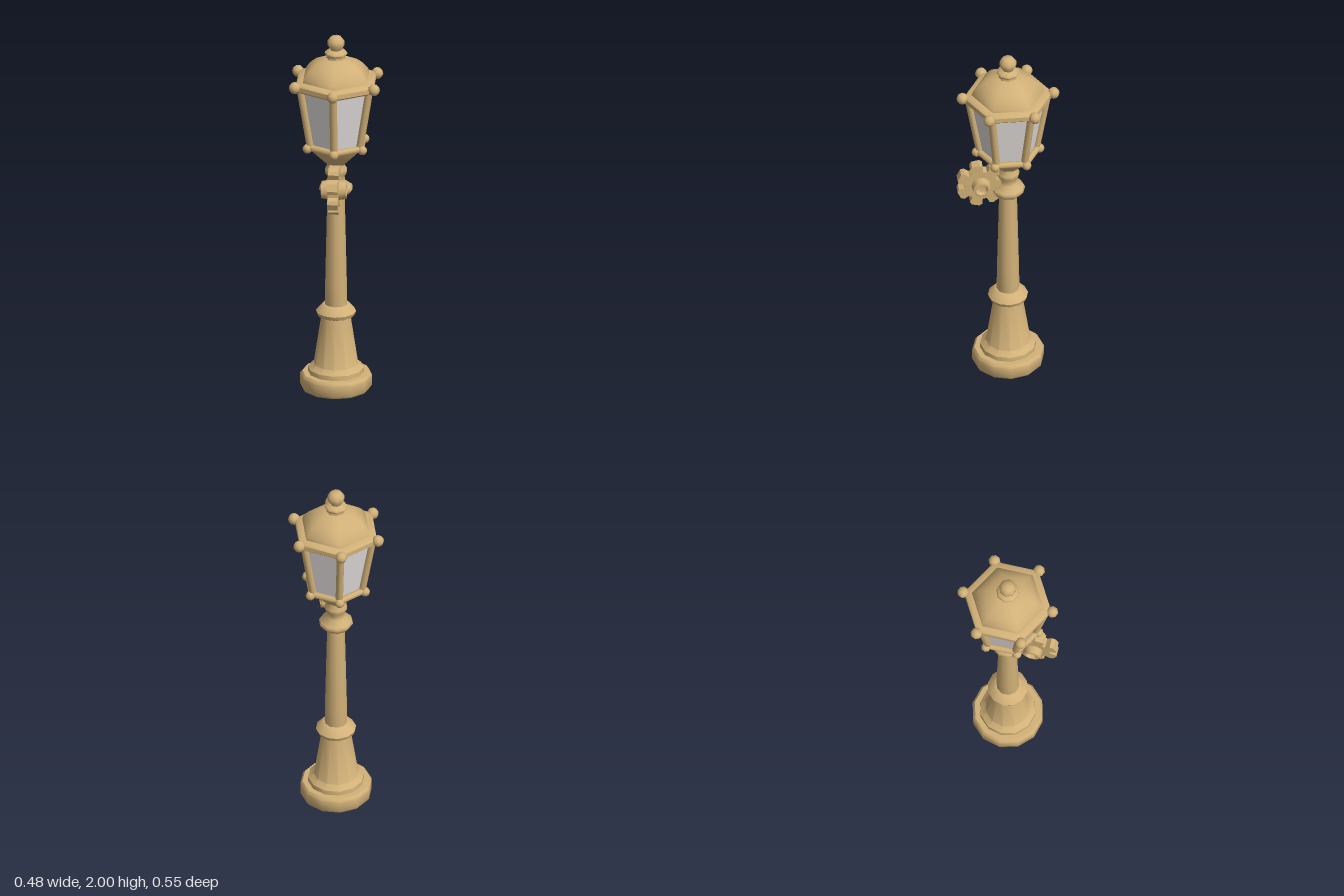
import * as THREE from 'three';
import { toCreasedNormals } from 'three/addons/utils/BufferGeometryUtils.js';

const paint = new THREE.MeshStandardMaterial({ color: 0xd2b178 });
paint.name = 'sandPaint';
const glass = new THREE.MeshStandardMaterial({ color: 0xe2dedc, side: THREE.DoubleSide });
glass.name = 'frostedGlass';

const lathe = (profile, sides, crease = 0.8) => toCreasedNormals(
  new THREE.LatheGeometry(profile.map(([r, y]) => new THREE.Vector2(r, y)), sides), crease);

// Corner of a hexagon with one corner pointing to the front
const corner = (i, r, y) => new THREE.Vector3(
  Math.sin(i * Math.PI / 3) * r, y, Math.cos(i * Math.PI / 3) * r);

export function createModel() {
  const lamp = new THREE.Group();
  lamp.name = 'streetLamp';

  const add = (name, geometry, material = paint, parent = lamp) => {
    const mesh = new THREE.Mesh(geometry, material);
    mesh.name = name;
    parent.add(mesh);
    return mesh;
  };

  // Round bar between two points
  const bar = (name, a, b, radius) => {
    const mesh = add(name, new THREE.CylinderGeometry(radius, radius, a.distanceTo(b), 8));
    mesh.position.copy(a).lerp(b, 0.5);
    mesh.quaternion.setFromUnitVectors(new THREE.Vector3(0, 1, 0), b.clone().sub(a).normalize());
  };

  // Foot, pedestal, shaft and neck
  add('foot', lathe([[0, 0], [0.18, 0], [0.19, 0.015], [0.19, 0.075], [0.178, 0.09], [0, 0.095]], 12));
  add('pedestal', lathe([[0.15, 0.085], [0.148, 0.115], [0.118, 0.138], [0.078, 0.405],
    [0.1, 0.415], [0.107, 0.435], [0.072, 0.475], [0, 0.48]], 12));
  add('shaft', lathe([[0.061, 0.46], [0.059, 0.6], [0.047, 1.12]], 10));
  add('collar', lathe([[0.04, 1.105], [0.075, 1.11], [0.092, 1.135], [0.085, 1.15], [0.05, 1.175],
    [0.046, 1.205], [0.06, 1.225], [0.06, 1.245], [0.044, 1.265], [0.05, 1.3]], 10, 1.2));

  // Lantern body
  add('lanternFunnel', lathe([[0.045, 1.27], [0.075, 1.3], [0.15, 1.375], [0.155, 1.4], [0, 1.4]], 6, 1.1));
  const panes = new THREE.CylinderGeometry(0.204, 0.144, 0.34, 6, 1, true);
  panes.translate(0, 1.56, 0);
  add('glassPanes', toCreasedNormals(panes, 0.5), glass);

  for (let i = 0; i < 6; i++) {
    bar('lanternPost', corner(i, 0.148, 1.38), corner(i, 0.209, 1.73), 0.02);
    bar('lowerRail', corner(i, 0.158, 1.39), corner(i + 1, 0.158, 1.39), 0.018);
    add('lowerKnob', new THREE.SphereGeometry(0.026, 8, 6)).position.copy(corner(i, 0.168, 1.385));
    add('eaveKnob', new THREE.SphereGeometry(0.032, 8, 6)).position.copy(corner(i, 0.242, 1.745));
  }

  // Roof with a thick eave, closed underneath
  add('eave', lathe([[0, 1.715], [0.225, 1.715], [0.237, 1.725], [0.237, 1.75], [0.225, 1.76], [0.19, 1.765]], 6));
  add('roof', lathe([[0.198, 1.755], [0.188, 1.785], [0.158, 1.82], [0.122, 1.848], [0.068, 1.872], [0, 1.885]], 6, 1.2));
  add('finial', lathe([[0.055, 1.865], [0.048, 1.885], [0.062, 1.902], [0.056, 1.912], [0.03, 1.922],
    [0.046, 1.95], [0.046, 1.972], [0.028, 1.995], [0, 2]], 8, 1.2));

  // Cog wheel fixed to the front of the neck, axle running sideways
  const cog = new THREE.Group();
  cog.name = 'cogWheel';
  cog.position.set(0, 1.18, 0.145);
  lamp.add(cog);
  const outline = [];
  const teeth = 7;
  for (let i = 0; i < teeth; i++) {
    const mid = 1.35 + i * 2 * Math.PI / teeth;
    for (const [offset, r] of [[-0.32, 0.088], [-0.29, 0.12], [-0.16, 0.131],
      [0.16, 0.131], [0.29, 0.12], [0.32, 0.088]]) {
      outline.push(new THREE.Vector2(Math.cos(mid + offset) * r, Math.sin(mid + offset) * r));
    }
  }
  const disc = new THREE.ExtrudeGeometry(new THREE.Shape(outline), { depth: 0.054, bevelEnabled: false });
  disc.translate(0, 0, -0.027);
  disc.rotateY(-Math.PI / 2);
  add('cogDisc', disc, paint, cog);
  const hub = lathe([[0, -0.045], [0.025, -0.05], [0.034, -0.068], [0.046, -0.066], [0.052, -0.03],
    [0.052, 0.03], [0.046, 0.066], [0.034, 0.068], [0.025, 0.05], [0, 0.045]], 10);
  hub.rotateZ(Math.PI / 2);
  add('cogHub', hub, paint, cog);

  return lamp;
}
